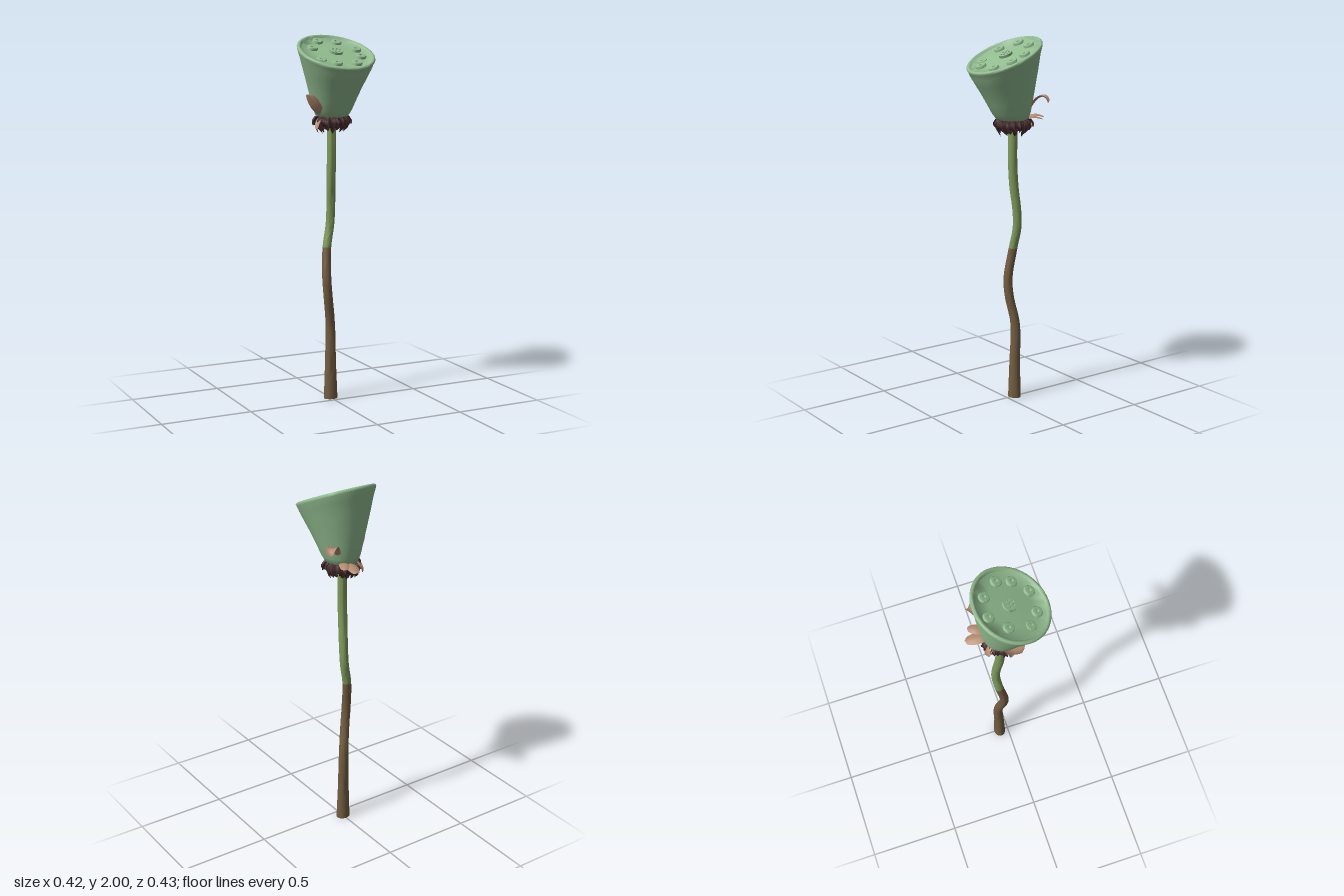
import * as THREE from 'three';
import { mergeGeometries, toCreasedNormals } from 'three/addons/utils/BufferGeometryUtils.js';

const mat = (name, color, side = THREE.FrontSide) => {
  const m = new THREE.MeshStandardMaterial({ color, side });
  m.name = name;
  return m;
};

let seed = 7;
const rand = () => (seed = (seed * 16807) % 2147483647) / 2147483647;

// Skin a stack of rings { c: centre, r: radius, tilt: lean about x, sz: depth scale }
function loft(rings, n, crease = 0.7) {
  const pos = [], idx = [];
  rings.forEach(({ c, r, tilt = 0, sz = 1 }, i) => {
    for (let j = 0; j < n; j++) {
      const a = (j / n) * Math.PI * 2, x = r * Math.cos(a), z = r * sz * Math.sin(a);
      pos.push(c.x + x, c.y - z * Math.sin(tilt), c.z + z * Math.cos(tilt));
      if (i < rings.length - 1) {
        const k = (j + 1) % n, p = i * n, q = p + n;
        idx.push(p + j, q + j, p + k, q + j, q + k, p + k);
      }
    }
  });
  const g = new THREE.BufferGeometry();
  g.setAttribute('position', new THREE.Float32BufferAttribute(pos, 3));
  g.setIndex(idx);
  return toCreasedNormals(g, crease);
}

// Leaf along a spine of [distance from axis, height] points, turned to face an azimuth (0 = +x)
function leaf(spine, halfWidth, azimuth, cup = 0.3, rows = 12, cols = 6) {
  const curve = new THREE.SplineCurve(spine.map(([r, y]) => new THREE.Vector2(r, y)));
  const pos = [], idx = [];
  for (let i = 0; i <= rows; i++) {
    const t = i / rows, p = curve.getPoint(t), d = curve.getTangent(t);
    const w = halfWidth * (t < 0.6 ? 0.5 + 0.5 * Math.sin((t / 0.6) * Math.PI / 2)
      : Math.sqrt(Math.max(0, 1 - ((t - 0.6) / 0.4) ** 2)));
    for (let j = 0; j <= cols; j++) {
      const s = (j / cols) * 2 - 1, lift = cup * w * s * s;
      pos.push(p.x - d.y * lift, p.y + d.x * lift, s * w);
      if (i < rows && j < cols) {
        const a = i * (cols + 1) + j, b = a + cols + 1;
        idx.push(a, a + 1, b, b, a + 1, b + 1);
      }
    }
  }
  const g = new THREE.BufferGeometry();
  g.setAttribute('position', new THREE.Float32BufferAttribute(pos, 3));
  g.setIndex(idx);
  g.rotateY(-azimuth);
  g.translate(0, 0, -0.04);
  g.computeVertexNormals();
  return g;
}

export function createModel() {
  const model = new THREE.Group();
  model.name = 'seedPodOnStem';
  const podGreen = mat('pod green', 0x91bb8f);
  const stemGreen = mat('stem green', 0x809a5c);
  const stemBrown = mat('stem brown', 0x725d41);
  const petalBrown = mat('dry petal', 0xb48b71, THREE.DoubleSide);
  const maroon = mat('dark calyx', 0x43282a, THREE.DoubleSide);
  const add = (name, geo, material, parent = model) => {
    const m = new THREE.Mesh(geo, material);
    m.name = name;
    parent.add(m);
    return m;
  };
  const V = (x, y, z) => new THREE.Vector3(x, y, z);

  // Wavy stem, brown below and green above
  const lower = [[0, 0, -0.05, 0.039], [0, 0.2, -0.052, 0.031], [0, 0.42, -0.055, 0.026],
    [-0.024, 0.58, -0.032, 0.025], [-0.033, 0.68, -0.03, 0.025], [-0.02, 0.85, -0.055, 0.024]];
  const upper = [[-0.02, 0.85, -0.055, 0.024], [0.003, 0.97, -0.065, 0.024], [0.006, 1.07, -0.06, 0.024],
    [0, 1.2, -0.045, 0.025], [-0.001, 1.35, -0.037, 0.025], [0, 1.56, -0.04, 0.025]];
  const all = [...lower, ...upper.slice(1)];
  const path = new THREE.CatmullRomCurve3(all.map(p => V(p[0], p[1], p[2])));
  const stem = (from, to) => {
    const rings = [];
    for (let i = 0; i <= 30; i++) {
      const u = from + (to - from) * (i / 30), f = u * (all.length - 1);
      const k = Math.min(Math.floor(f), all.length - 2);
      rings.push({ c: path.getPoint(u), r: THREE.MathUtils.lerp(all[k][3], all[k + 1][3], f - k),
        sz: 0.85 + 0.15 * Math.min(1, f / 2) });
    }
    return [{ ...rings[0], r: 0 }, ...rings, { ...rings[30], r: 0 }];
  };
  add('lowerStem', loft(stem(0, 0.5), 20), stemBrown);
  add('upperStem', loft(stem(0.5, 1), 20), stemGreen);

  // Flared pod, leaning towards the front, with a rounded lip and sunken top
  const tilt = 0.43, rim = V(0, 1.908, 0.02);
  const normal = V(0, Math.cos(tilt), Math.sin(tilt));
  const onRim = (off, r) => ({ c: rim.clone().addScaledVector(normal, off), r, tilt });
  const wall = [[1.555, -0.035, 0, 0], [1.556, -0.035, 0.06, 0], [1.568, -0.033, 0.088, 0],
    [1.6, -0.027, 0.104, 0.03], [1.66, -0.018, 0.124, 0.12], [1.73, -0.008, 0.148, 0.23],
    [1.8, 0.003, 0.174, 0.33], [1.86, 0.013, 0.196, 0.4]]
    .map(([y, z, r, t]) => ({ c: V(0, y, z), r, tilt: t }));
  const lip = [[-0.014, 0.209], [-0.005, 0.212], [0.001, 0.209], [0.004, 0.202], [0.002, 0.194],
    [-0.005, 0.19], [-0.01, 0.186], [-0.01, 0.12], [-0.008, 0.05], [-0.007, 0]].map(p => onRim(...p));
  add('pod', loft([...wall, ...lip], 48, 1.1), podGreen);

  // Seeds set in the pod face, each with a small pit
  const face = new THREE.Group();
  face.name = 'seeds';
  face.position.copy(rim);
  face.rotation.x = tilt;
  model.add(face);
  const lathe = (pts, n = 20) => toCreasedNormals(
    new THREE.LatheGeometry(pts.map(p => new THREE.Vector2(...p)), n), 0.7);
  const seedGeo = lathe([[0.029, -0.02], [0.029, -0.002], [0.026, 0.003], [0.018, 0.005],
    [0.009, 0.003], [0.006, -0.005], [0, -0.006]]);
  [[-0.048, -0.107, 0], [0.057, -0.096, -0.001], [-0.115, -0.03, 0], [0.133, -0.012, 0], [0.125, 0.064, 0],
    [0.065, 0.135, 0], [-0.05, 0.135, 0], [-0.115, 0.085, -0.009]].forEach(([x, z, y]) => {
    add('seed', seedGeo, podGreen, face).position.set(x, y, (z - 0.02) / Math.cos(tilt));
  });

  // Central seed, pierced by a ring of holes around one in the middle
  const disc = new THREE.Shape().absarc(0, 0, 0.037, 0, Math.PI * 2);
  for (let i = 0; i < 7; i++) {
    const a = (i / 6) * Math.PI * 2, d = i < 6 ? 0.021 : 0;
    disc.holes.push(new THREE.Path().absarc(d * Math.cos(a), d * Math.sin(a), 0.0055, 0, Math.PI * 2, true));
  }
  const discGeo = new THREE.ExtrudeGeometry(disc, { depth: 0.02, bevelEnabled: false, curveSegments: 14 });
  discGeo.rotateX(-Math.PI / 2);
  add('centreSeed', toCreasedNormals(discGeo, 0.7), podGreen, face).position.set(0.003, -0.014, -0.008);

  // Shaggy dark calyx: a core with ragged hanging strips
  const core = lathe([[0.024, 1.5], [0.05, 1.505], [0.068, 1.53], [0.07, 1.55], [0.055, 1.572], [0, 1.575]], 24);
  core.translate(0, 0, -0.04);
  add('calyxCore', core, maroon);
  const strips = [];
  for (let tier = 0; tier < 3; tier++) {
    for (let i = 0; i < 18; i++) {
      const a = ((i + tier / 3 + rand() * 0.6) / 18) * Math.PI * 2;
      const out = 0.058 + tier * 0.009 + rand() * 0.018, end = 1.468 + tier * 0.02 + rand() * 0.03;
      strips.push(leaf([[0.04, 1.545 + tier * 0.008], [out, 1.55 + tier * 0.003], [out + 0.008, 1.522 + tier * 0.003],
        [out - 0.005, end]], 0.011 + rand() * 0.005, a, 0.7, 6, 2));
    }
  }
  add('calyxStrips', mergeGeometries(strips), maroon);

  // Dried petals left around the base of the pod
  const petals = [
    ['cuppedPetal', [[0.04, 1.56], [0.085, 1.57], [0.13, 1.605], [0.16, 1.65], [0.178, 1.685]], 0.046, [-0.17, 0.06], 0.45],
    ['curledPetal', [[0.04, 1.56], [0.085, 1.605], [0.12, 1.66], [0.155, 1.688], [0.182, 1.68], [0.192, 1.655]], 0.028, [0.155, -0.115], 0.35],
    ['flatPetal', [[0.04, 1.56], [0.08, 1.582], [0.125, 1.59], [0.168, 1.575]], 0.027, [0.085, -0.145], -0.3],
    ['flatPetal', [[0.04, 1.555], [0.08, 1.575], [0.13, 1.572], [0.178, 1.555]], 0.031, [0.03, -0.175], -0.3],
    ['hangingPetal', [[0.04, 1.56], [0.075, 1.555], [0.095, 1.53], [0.108, 1.495]], 0.018, [-0.1, 0.03], 0.3],
    ['hangingPetal', [[0.04, 1.56], [0.075, 1.56], [0.1, 1.54], [0.11, 1.51]], 0.018, [-0.06, -0.08], 0.3],
  ];
  petals.forEach(([name, spine, width, [dx, dz], cup]) =>
    add(name, leaf(spine, width, Math.atan2(dz, dx), cup), petalBrown));

  return model;
}
